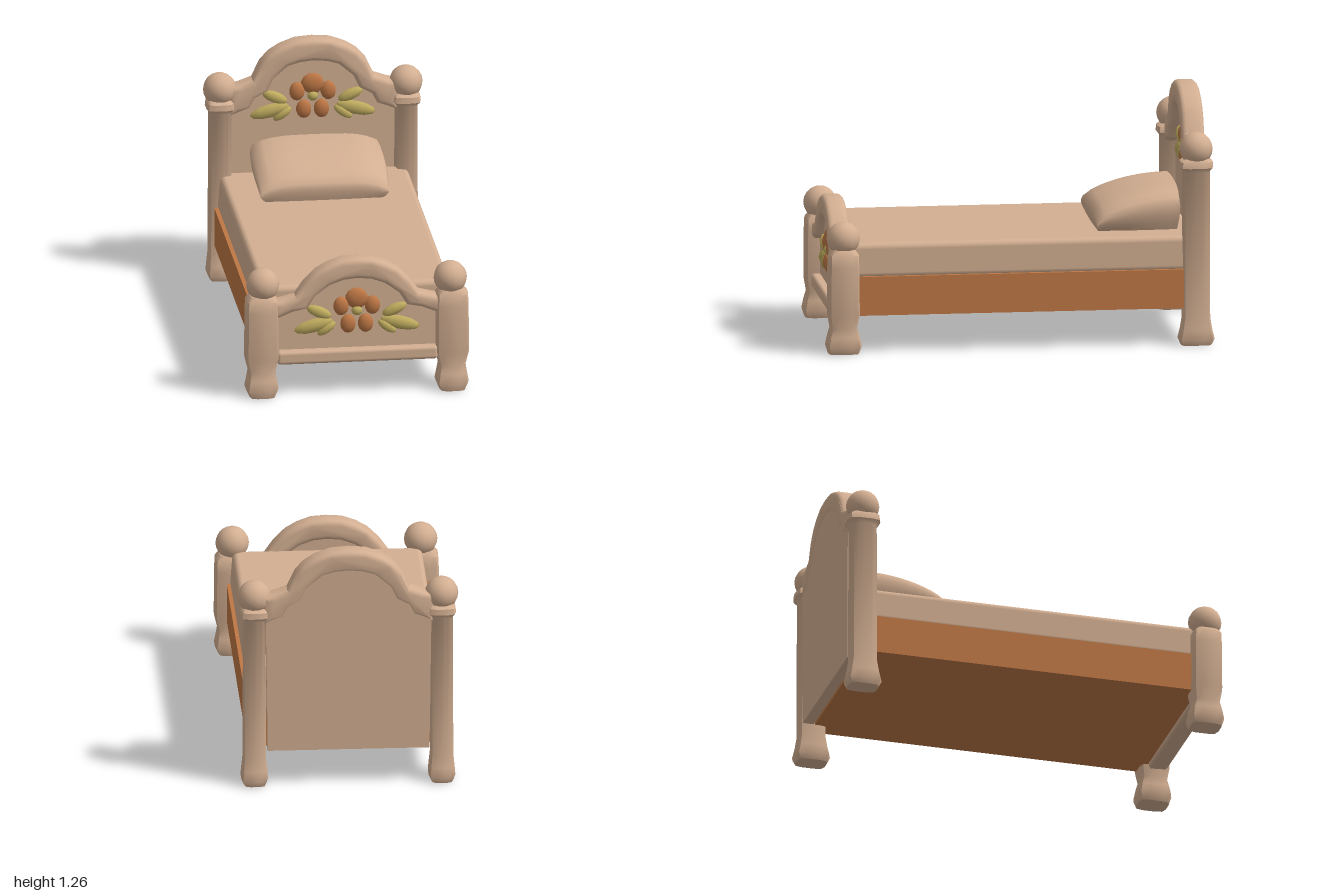
import * as THREE from 'three';
import { toCreasedNormals } from 'three/addons/utils/BufferGeometryUtils.js';
import { RoundedBoxGeometry } from 'three/addons/geometries/RoundedBoxGeometry.js';

const mat = (name, color) => new THREE.MeshStandardMaterial({ name, color });

export function createModel() {
  const bed = new THREE.Group();
  bed.name = 'bed';
  const cream = mat('cream wood', 0xd3af92);
  const orange = mat('orange wood', 0xbf7846);
  const green = mat('leaf green', 0xc2ae60);

  const add = (name, geo, material, x = 0, y = 0, z = 0, parent = bed) => {
    const m = new THREE.Mesh(geo, material);
    m.name = name;
    m.position.set(x, y, z);
    parent.add(m);
    return m;
  };

  // Rounded-square column through rings of [y, half width, half depth], top to bottom
  function column(rings) {
    const n = rings.length - 1;
    const geo = new THREE.CylinderGeometry(1, 1, 1, 16, n);
    const p = geo.attributes.position;
    for (let i = 0; i < p.count; i++) {
      const [y, hx, hz] = rings[Math.round((0.5 - p.getY(i)) * n)];
      const c = p.getX(i), s = p.getZ(i);
      const q = Math.pow(Math.abs(c) ** 5 + Math.abs(s) ** 5, 0.2);
      const k = q > 0 ? 1 / q : 0;
      p.setXYZ(i, c * k * hx, y, s * k * hz);
    }
    return toCreasedNormals(geo, 0.8);
  }

  const frontPost = column([
    [0.535, 0.06, 0.055], [0.51, 0.08, 0.075], [0.45, 0.083, 0.078], [0.2, 0.085, 0.08],
    [0.13, 0.068, 0.068], [0.09, 0.074, 0.08], [0.04, 0.083, 0.09], [0, 0.065, 0.078],
  ]);
  const backPost = column([
    [0.96, 0.055, 0.06], [0.945, 0.068, 0.082], [0.915, 0.072, 0.085], [0.895, 0.056, 0.068],
    [0.14, 0.058, 0.07], [0.08, 0.064, 0.08], [0.03, 0.068, 0.092], [0, 0.055, 0.078],
  ]);
  const ball = new THREE.SphereGeometry(0.085, 14, 10);
  for (const s of [1, -1]) {
    add('frontPost', frontPost, cream, s * 0.485, 0, 0.905);
    add('frontKnob', ball, cream, s * 0.478, 0.588, 0.905);
    add('backPost', backPost, cream, s * 0.475, 0, -0.895);
    add('backKnob', ball, cream, s * 0.475, 1.008, -0.895);
  }

  // Half outlines run from the post to the centre line and are mirrored
  const mirror = (half) => [...half, ...half.slice(0, -1).reverse().map(([x, y]) => [-x, y])];
  const toShape = (pts) => new THREE.Shape(pts.map(([x, y]) => new THREE.Vector2(x, y)));

  function slab(pts, z0, z1, bevel = 0) {
    const geo = new THREE.ExtrudeGeometry(toShape(pts), {
      depth: z1 - z0 - 2 * bevel, bevelEnabled: bevel > 0, bevelThickness: bevel,
      bevelSize: bevel, bevelOffset: -bevel, bevelSegments: 3, curveSegments: 4,
    });
    geo.translate(0, 0, z0 + bevel);
    return toCreasedNormals(geo, 0.7);
  }

  // Arched board: thin panel plus a thick rounded moulding along its top
  function board(name, outer, inner, bottom, panelZ, trimZ) {
    const g = new THREE.Group();
    g.name = name;
    bed.add(g);
    const top = mirror(outer.map(([x, y]) => [x * 0.98, y - 0.015]));
    add('panel', slab([[0.41, bottom], ...top, [-0.41, bottom]], ...panelZ), cream, 0, 0, 0, g);
    const band = [...mirror(outer), ...mirror(inner).reverse()];
    add('archMoulding', slab(band, ...trimZ, 0.025), cream, 0, 0, 0, g);
    return g;
  }

  const headboard = board('headboard',
    [[0.43, 1.02], [0.38, 1.03], [0.31, 1.055], [0.27, 1.14], [0.225, 1.19], [0.17, 1.225], [0.09, 1.255], [0, 1.262]],
    [[0.43, 0.87], [0.38, 0.89], [0.325, 0.91], [0.3, 0.96], [0.235, 0.995], [0.205, 1.06], [0.13, 1.125], [0.07, 1.143], [0, 1.15]],
    0.19, [-0.957, -0.9], [-0.96, -0.845]);
  const footboard = board('footboard',
    [[0.43, 0.5], [0.39, 0.505], [0.315, 0.525], [0.27, 0.59], [0.21, 0.65], [0.15, 0.685], [0.08, 0.71], [0, 0.716]],
    [[0.43, 0.41], [0.39, 0.42], [0.33, 0.445], [0.255, 0.46], [0.215, 0.525], [0.14, 0.58], [0.07, 0.605], [0, 0.612]],
    0.17, [0.87, 0.915], [0.845, 0.955]);
  add('bottomRail', new RoundedBoxGeometry(0.82, 0.07, 0.1, 2, 0.018), cream, 0, 0.202, 0.91, footboard);

  // Carved flower with five petals and three leaves on each side
  const petalGeo = new THREE.SphereGeometry(1, 9, 7);
  const leafGeo = new THREE.SphereGeometry(1, 8, 6).rotateZ(Math.PI / 2);
  function flower(parent, y, z) {
    const g = new THREE.Group();
    g.name = 'flower';
    g.position.set(0, y, z);
    parent.add(g);
    const petals = [[0, 0.065, 0.06, 0.055], [0.08, 0.025, 0.04, 0.05], [-0.08, 0.025, 0.04, 0.05],
      [0.045, -0.07, 0.04, 0.05], [-0.045, -0.07, 0.04, 0.05]];
    for (const [px, py, rx, ry] of petals) {
      add('petal', petalGeo, orange, px, py, 0, g).scale.set(rx, ry, 0.026);
    }
    add('flowerCentre', petalGeo, green, 0, 0, 0.006, g).scale.set(0.028, 0.026, 0.022);
    const leaves = [[0.12, -0.05, 0.32, -0.1, 0.036], [0.13, -0.03, 0.255, 0.025, 0.03], [0.11, -0.06, 0.2, -0.125, 0.025]];
    for (const s of [1, -1]) {
      for (const [x0, y0, x1, y1, w] of leaves) {
        const leaf = add('leaf', leafGeo, green, s * (x0 + x1) / 2, (y0 + y1) / 2, 0, g);
        leaf.scale.set(Math.hypot(x1 - x0, y1 - y0) / 2, w, 0.024);
        leaf.rotation.z = s * Math.atan2(y1 - y0, x1 - x0);
      }
    }
  }
  flower(headboard, 0.952, -0.898);
  flower(footboard, 0.435, 0.917);

  // Orange bed frame
  add('bedFrame', new THREE.BoxGeometry(1.02, 0.2, 1.76), orange, 0, 0.292, -0.01);

  // Mattress, narrowing towards the top
  const mattress = new RoundedBoxGeometry(1, 0.18, 1.77, 3, 0.03);
  const mp = mattress.attributes.position;
  for (let i = 0; i < mp.count; i++) {
    mp.setX(i, mp.getX(i) * (0.975 - 0.16 * mp.getY(i)));
  }
  add('mattress', mattress, cream, 0, 0.469, -0.015);

  // Pillow: a box puffed out at mid height and sloping down to the front
  const pillow = new THREE.BoxGeometry(2, 2, 2, 12, 4, 10);
  const pp = pillow.attributes.position;
  for (let i = 0; i < pp.count; i++) {
    const u = pp.getX(i), t = (pp.getY(i) + 1) / 2, v = pp.getZ(i);
    const topY = 0.765 - 0.04 * u ** 4 - 0.1 * ((v + 1) / 2) ** 2 - 0.015 * Math.max(0, v) ** 6;
    const puff = 1 - 0.12 * (1 - t) ** 2 - 0.05 * t ** 6;
    const round = 1 - 0.03 * u * u * v * v;
    pp.setXYZ(i, u * 0.345 * puff * round, 0.555 + t * (topY - 0.555), -0.62 + v * 0.222 * (0.4 + 0.6 * puff) * round);
  }
  add('pillow', toCreasedNormals(pillow, 1.1), cream);

  return bed;
}
